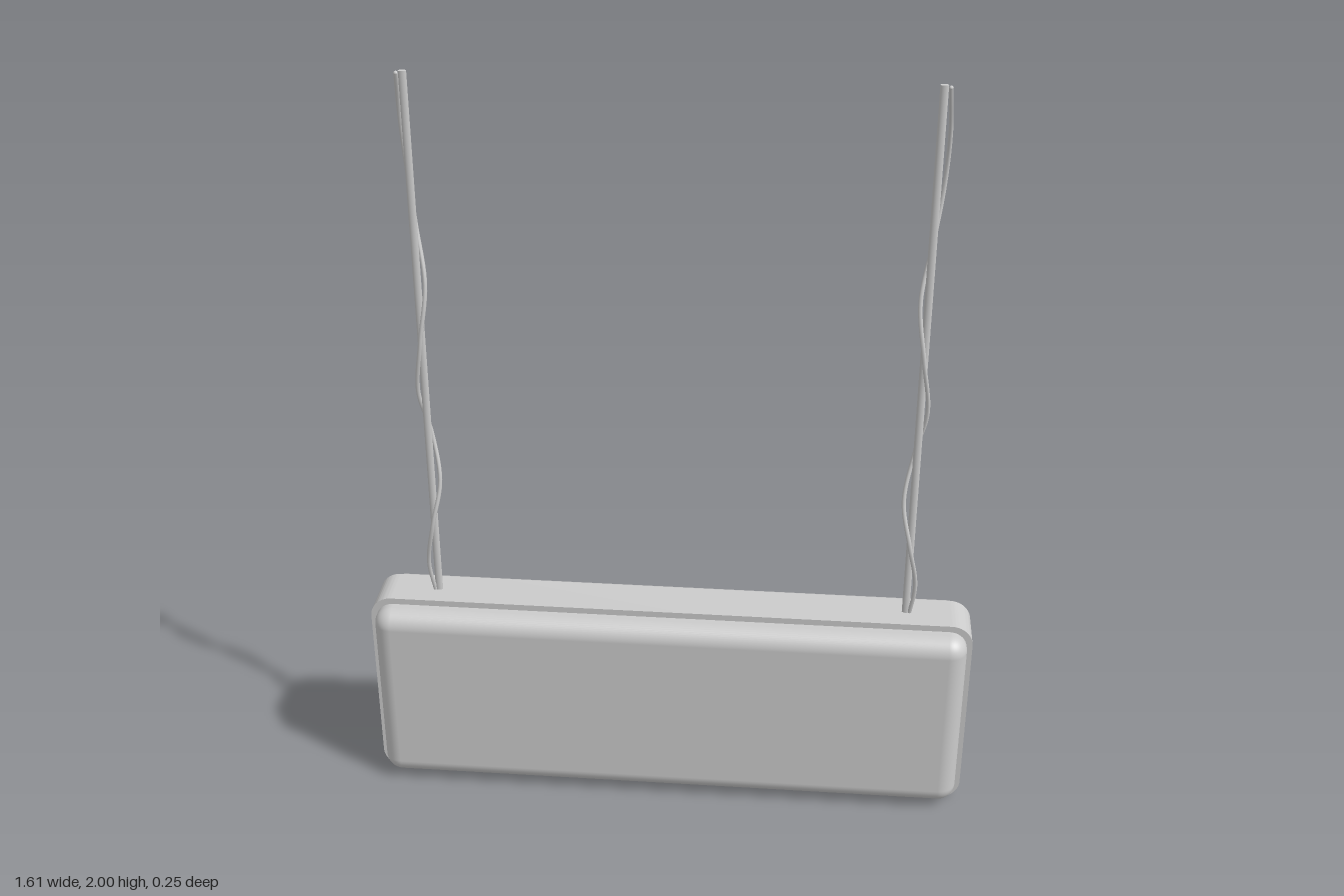
import * as THREE from 'three';
import { RoundedBoxGeometry } from 'three/addons/geometries/RoundedBoxGeometry.js';
import { toCreasedNormals } from 'three/addons/utils/BufferGeometryUtils.js';

const material = new THREE.MeshStandardMaterial({ color: 0xcccccc });

function addMesh(parent, name, geometry) {
  const mesh = new THREE.Mesh(geometry, material);
  mesh.name = name;
  parent.add(mesh);
  return mesh;
}

function roundedRect(w, h, r) {
  const x = w / 2, y = h / 2;
  const s = new THREE.Shape();
  s.absarc(x - r, y - r, r, 0, Math.PI / 2);
  s.absarc(-x + r, y - r, r, Math.PI / 2, Math.PI);
  s.absarc(-x + r, -y + r, r, Math.PI, Math.PI * 1.5);
  s.absarc(x - r, -y + r, r, Math.PI * 1.5, Math.PI * 2);
  s.closePath();
  return s;
}

export function createModel() {
  const model = new THREE.Group();
  model.name = 'hangingLamp';

  // Softly rounded lamp body
  const body = addMesh(model, 'lampBody', new RoundedBoxGeometry(1.584, 0.53, 0.25, 6, 0.048));
  body.position.y = 0.284;

  // Flat band wrapped around the middle of the body
  const bandDepth = 0.125;
  const bandGeometry = new THREE.ExtrudeGeometry(roundedRect(1.614, 0.566, 0.058), {
    depth: bandDepth, bevelEnabled: false, curveSegments: 10,
  });
  bandGeometry.translate(0, 0.283, -bandDepth / 2);
  addMesh(model, 'middleBand', toCreasedNormals(bandGeometry, 0.6));

  // Path of the loose cord winding around the left rod
  const cordPoints = [
    [0.637, 0.55, 0], [0.648, 0.66, 0.017], [0.625, 0.79, 0.038], [0.603, 0.91, 0.014],
    [0.624, 1.04, -0.017], [0.647, 1.16, 0], [0.628, 1.31, 0.02], [0.61, 1.46, 0],
    [0.633, 1.6, -0.044], [0.65, 1.73, -0.066], [0.654, 1.87, -0.047], [0.644, 1.994, 0.003],
  ];

  for (const side of [1, -1]) {
    const suspension = new THREE.Group();
    suspension.name = side > 0 ? 'leftSuspension' : 'rightSuspension';
    model.add(suspension);

    // Slim oval rod
    const rod = addMesh(suspension, 'rod', new THREE.CylinderGeometry(0.01, 0.01, 1.45, 16));
    rod.scale.z = 0.7;
    rod.position.set(side * 0.629, 1.275, 0);

    // Power cord
    const path = new THREE.CatmullRomCurve3(
      cordPoints.map(([x, y, z]) => new THREE.Vector3(side * x, y, z)));
    addMesh(suspension, 'cord', new THREE.TubeGeometry(path, 96, 0.0055, 8));

    // Closed upper end of the cord
    const tip = addMesh(suspension, 'cordTip', new THREE.SphereGeometry(0.0055, 8, 6));
    tip.position.copy(path.getPoint(1));
  }
  return model;
}
